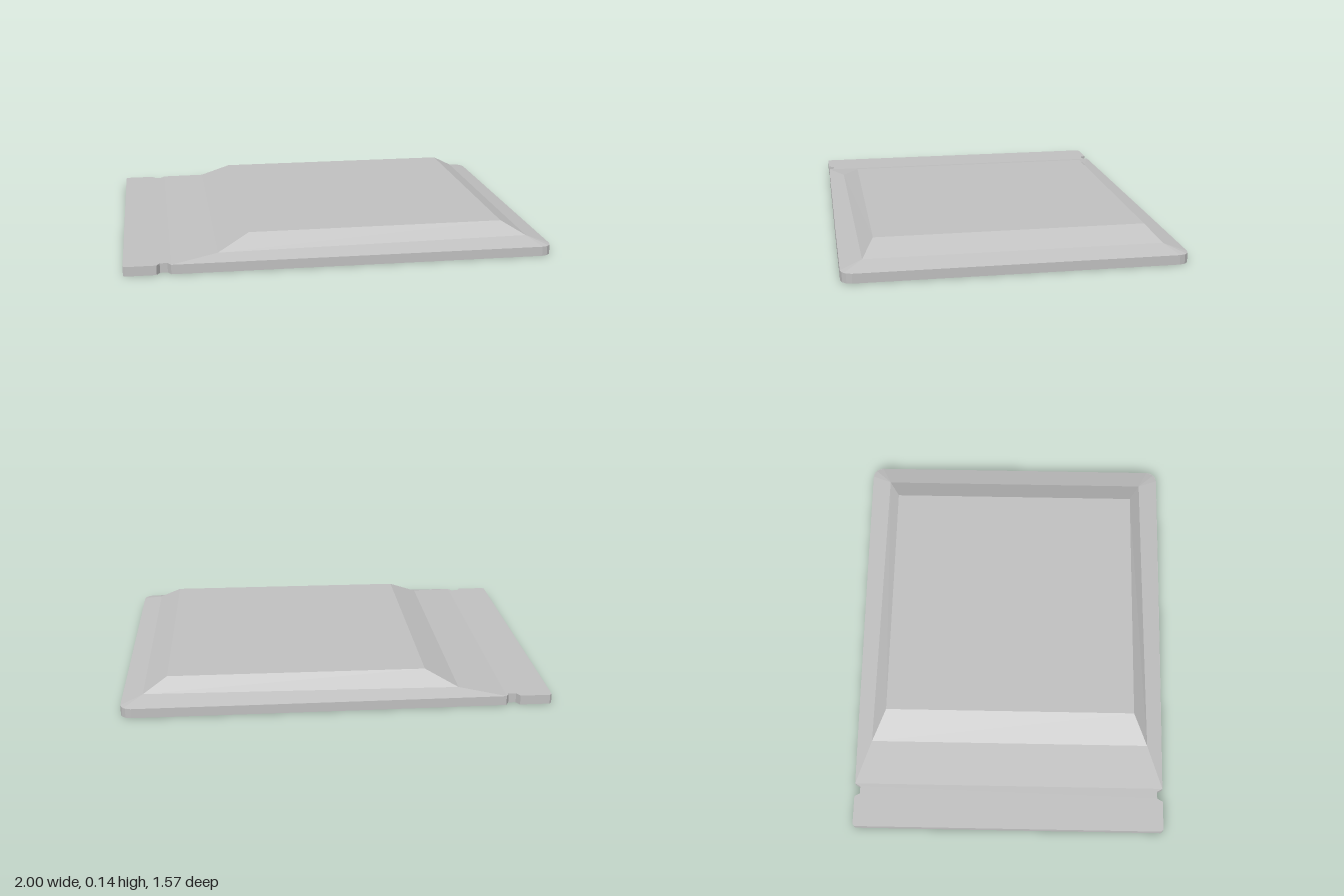
import * as THREE from 'three';

const SLAB_TOP = 0.045;

// Half outline of the slab (x, z), left to right, with the side notch and cut corners
const EDGE = [
  [-1, 0.762], [-0.99, 0.772], [-0.85, 0.772], [-0.835, 0.745], [-0.8, 0.745], [-0.785, 0.772],
  [-0.52, 0.775], [0.36, 0.782], [0.95, 0.785], [0.975, 0.778], [0.993, 0.76], [1, 0.735],
];

// Half cross-sections of the raised deck (x, y, z), from the bottom up
const FOOT = [[-0.785, SLAB_TOP, 0.772], [0.95, SLAB_TOP, 0.785], [0.985, SLAB_TOP, 0.77], [1, SLAB_TOP, 0.735]];
const SHOULDER = [[-0.57, 0.066, 0.698], [0.9, 0.073, 0.685], [0.9, 0.073, 0.685], [0.9, 0.073, 0.685]];
const CROWN = [[-0.42, 0.135, 0.628], [0.79, 0.135, 0.628], [0.79, 0.135, 0.628], [0.79, 0.135, 0.628]];

// Mirror a half section across z into a closed ring
const ring = (half) => [...half, ...half.map(([x, y, z]) => [x, y, -z]).reverse()];

function loft(halves) {
  const rings = halves.map(ring);
  const positions = [];
  const same = (a, b) => a.every((v, i) => v === b[i]);
  const triangle = (a, b, c) => {
    if (!same(a, b) && !same(b, c) && !same(c, a)) positions.push(...a, ...b, ...c);
  };
  for (let r = 0; r < rings.length - 1; r++) {
    const low = rings[r], high = rings[r + 1];
    for (let i = 0; i < low.length; i++) {
      const j = (i + 1) % low.length;
      triangle(low[i], low[j], high[j]);
      triangle(low[i], high[j], high[i]);
    }
  }
  // Flat cap
  const cap = rings[rings.length - 1];
  for (let i = 1; i < cap.length - 1; i++) triangle(cap[0], cap[i], cap[i + 1]);
  const geometry = new THREE.BufferGeometry();
  geometry.setAttribute('position', new THREE.Float32BufferAttribute(positions, 3));
  geometry.computeVertexNormals();
  return geometry;
}

export function createModel() {
  const group = new THREE.Group();
  group.name = 'panel';
  const grey = new THREE.MeshStandardMaterial({ color: 0xc0c0c0 });
  grey.name = 'light grey';

  // Base slab
  const outline = [...EDGE, ...EDGE.map(([x, z]) => [x, -z]).reverse()];
  const shape = new THREE.Shape(outline.map(([x, z]) => new THREE.Vector2(x, -z)));
  const slabGeometry = new THREE.ExtrudeGeometry(shape, { depth: SLAB_TOP, bevelEnabled: false });
  slabGeometry.rotateX(-Math.PI / 2);
  const slab = new THREE.Mesh(slabGeometry, grey);
  slab.name = 'baseSlab';

  // Raised deck with two-step sloping sides
  const deck = new THREE.Mesh(loft([FOOT, SHOULDER, CROWN]), grey);
  deck.name = 'raisedDeck';

  group.add(slab, deck);
  return group;
}
